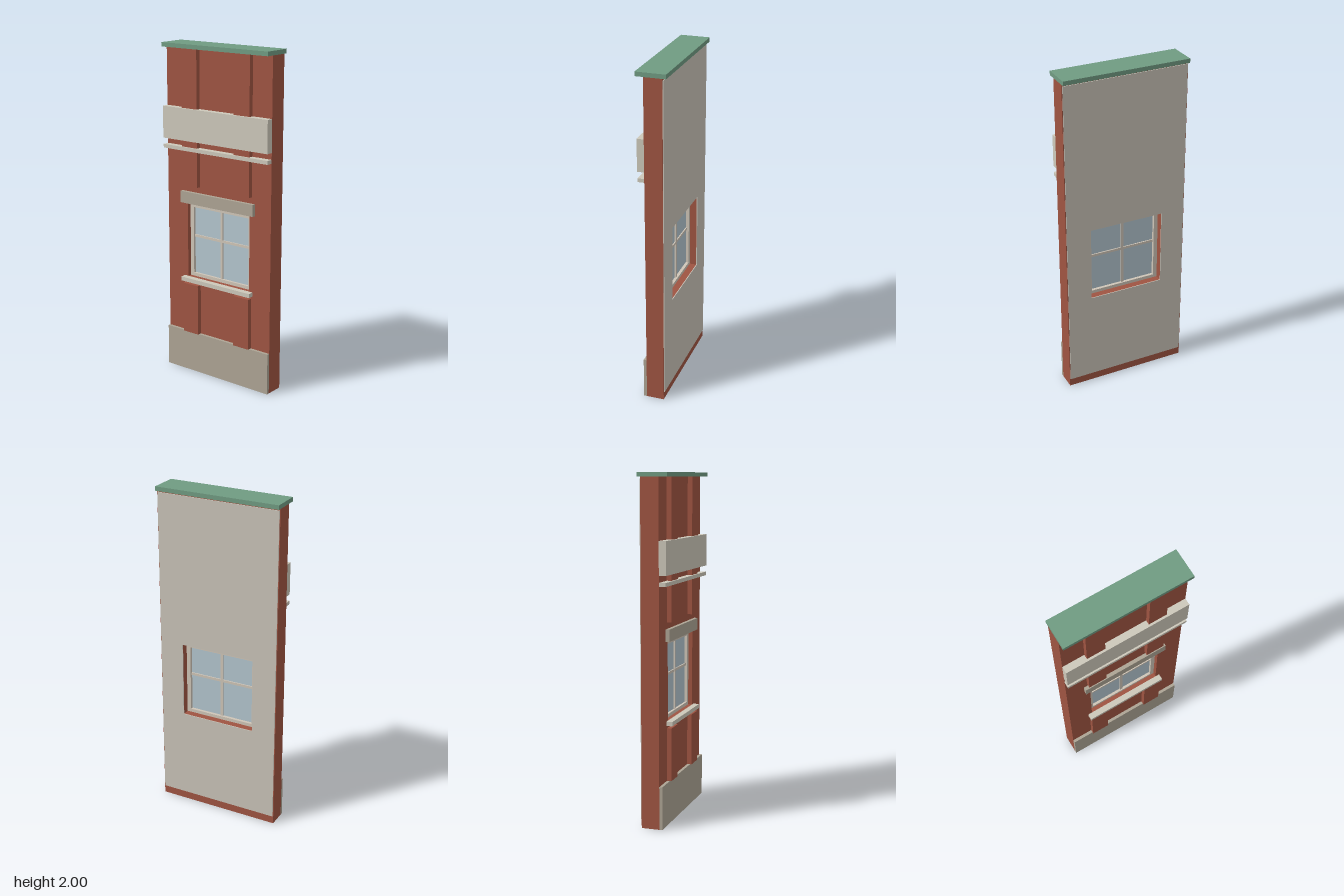
import * as THREE from 'three';

export function createModel() {
  const model = new THREE.Group();
  model.name = 'wallPanel';

  const material = (name, color) => {
    const m = new THREE.MeshStandardMaterial({ color });
    m.name = name;
    return m;
  };
  const brick = material('red brick', 0x9f5442);
  const stone = material('tan stone', 0xada494);
  const trim = material('cream trim', 0xcdc8ba);
  const frameColor = material('window frame', 0xcfc5b7);
  const plaster = material('inner plaster', 0xc9c3b8);
  const copper = material('green coping', 0x709b82);
  const glass = material('pale glass', 0xb3c5ce);

  const add = (name, geometry, mat) => {
    const mesh = new THREE.Mesh(geometry, mat);
    mesh.name = name;
    model.add(mesh);
  };
  // Box given by its limits on each axis
  const box = (name, mat, x0, x1, y0, y1, z0, z1) => {
    const g = new THREE.BoxGeometry(x1 - x0, y1 - y0, z1 - z0);
    g.translate((x0 + x1) / 2, (y0 + y1) / 2, (z0 + z1) / 2);
    add(name, g, mat);
  };
  // Upright slab with a rectangular opening
  const slab = (name, mat, w, y0, y1, hole, z0, z1) => {
    const corners = (hw, a, b) => [[-hw, a], [hw, a], [hw, b], [-hw, b]].map(p => new THREE.Vector2(...p));
    const shape = new THREE.Shape(corners(w, y0, y1));
    shape.holes.push(new THREE.Path(corners(...hole)));
    const g = new THREE.ExtrudeGeometry(shape, { depth: z1 - z0, bevelEnabled: false });
    g.translate(0, 0, z0);
    add(name, g, mat);
  };

  // Wall with window opening, plaster lining behind, coping on top
  const W = 0.38, face = 0.04;
  const opening = [0.23, 0.6, 1.06];
  slab('brickWall', brick, W, 0, 1.975, opening, -0.066, face);
  slab('plasterLining', plaster, W - 0.004, 0.05, 1.965, opening, -0.071, -0.066);
  box('coping', copper, -W, W, 1.975, 2, -0.087, 0.087);

  // Stone base and horizontal bands
  box('stoneBase', stone, -W, W, 0, 0.25, face, 0.058);
  box('signBand', trim, -W, W, 1.44, 1.63, face, 0.081);
  box('stringCourse', trim, -W, W, 1.38, 1.402, face, 0.079);

  // Brick pilasters above and below the window
  for (const side of [-1, 1]) {
    const c = side * 0.19;
    box('lowerPilaster', brick, c - 0.056, c + 0.056, 0.25, 0.56, face, 0.068);
    box('upperPilaster', brick, c - 0.056, c + 0.056, 1.168, 1.975, face, 0.068);
  }

  // Window lintel, sill, frame, bars and glass
  box('lintel', stone, -0.267, 0.267, 1.06, 1.13, face, 0.062);
  box('sill', trim, -0.256, 0.256, 0.575, 0.6, face, 0.076);
  slab('windowFrame', frameColor, ...opening, [0.205, 0.62, 1.03], -0.025, 0.015);
  box('verticalBar', frameColor, -0.008, 0.008, 0.62, 1.03, -0.015, 0.008);
  box('horizontalBar', frameColor, -0.205, 0.205, 0.845, 0.86, -0.014, 0.007);
  box('windowGlass', glass, -0.205, 0.205, 0.62, 1.03, -0.007, 0);

  return model;
}
